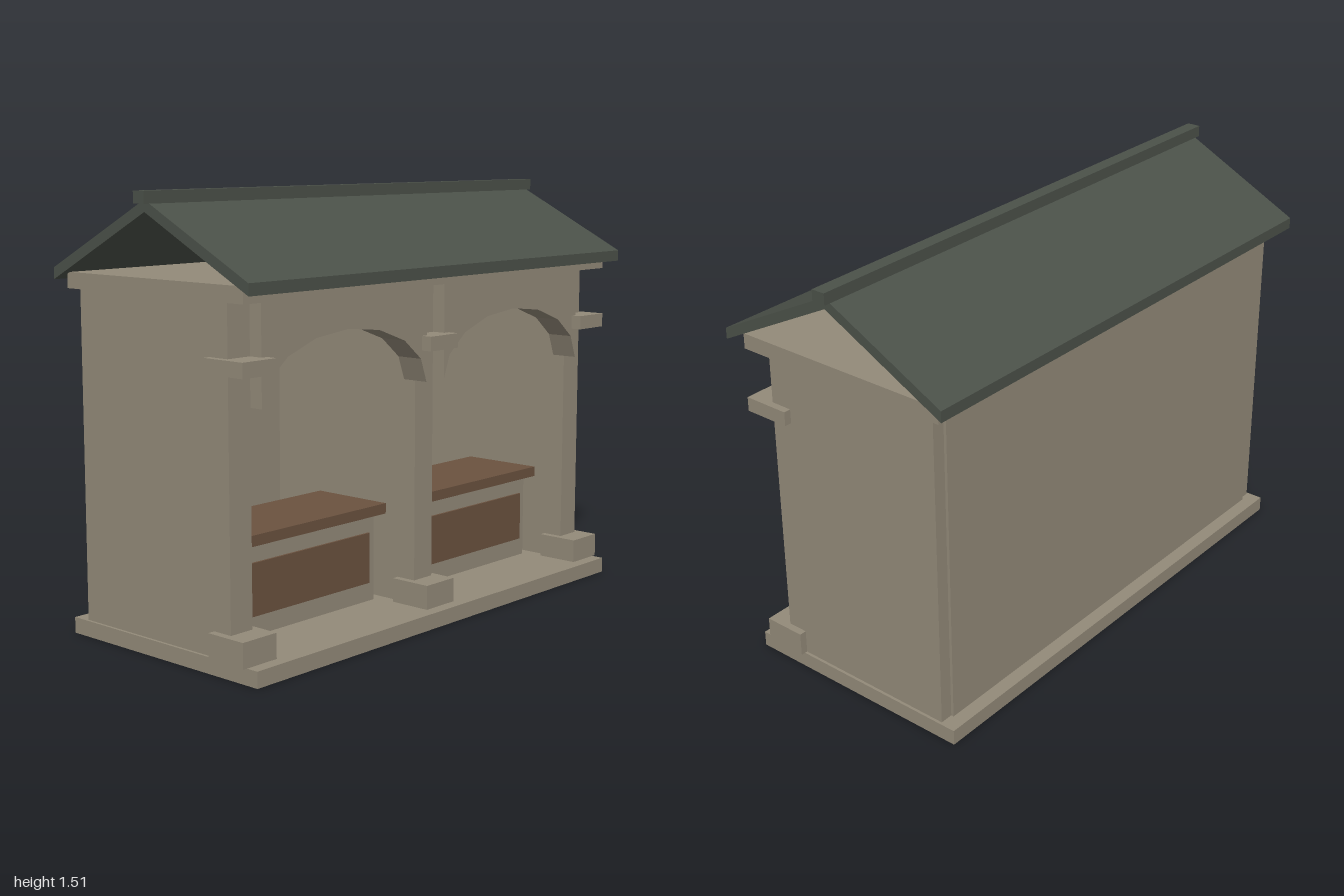
import * as THREE from 'three';

export function createModel() {
  const model = new THREE.Group();
  model.name = 'benchShelter';

  const mat = (name, color) => {
    const m = new THREE.MeshStandardMaterial({ color });
    m.name = name;
    return m;
  };
  const stone = mat('stone', 0x938a79);
  const slate = mat('slate', 0x4b5149);
  const wood = mat('wood', 0x6b523f);

  const add = (name, geometry, material) => {
    const mesh = new THREE.Mesh(geometry, material);
    mesh.name = name;
    model.add(mesh);
    return mesh;
  };
  // Box given by its lower and upper limits on each axis
  const box = (name, material, [x0, x1], [y0, y1], [z0, z1]) => {
    const g = new THREE.BoxGeometry(x1 - x0, y1 - y0, z1 - z0);
    g.translate((x0 + x1) / 2, (y0 + y1) / 2, (z0 + z1) / 2);
    return add(name, g, material);
  };

  // Floor, back wall and top plate
  box('floorSlab', stone, [-0.94, 0.94], [0, 0.055], [-0.44, 0.44]);
  box('backWall', stone, [-0.883, 0.883], [0.055, 1.178], [-0.39, -0.338]);
  box('topPlate', stone, [-0.95, 0.95], [1.178, 1.232], [-0.42, 0.405]);

  // Side walls and central divider, each with a plinth and a collar at the front
  for (const [name, x] of [['rightWall', -0.883], ['dividerWall', 0], ['leftWall', 0.883]]) {
    box(name, stone, [x - 0.047, x + 0.047], [0.055, 1.178], [-0.38, 0.315]);
    box(name + 'Plinth', stone, [x - 0.073, x + 0.073], [0.055, 0.14], [0.24, 0.395]);
    box(name + 'Collar', stone, [x - 0.073, x + 0.073], [0.955, 1.005], [0.235, 0.405]);
  }

  // Each bay has an arched panel and a bench
  const halfBay = 0.3945;
  for (const side of [-1, 1]) {
    const cx = side * 0.4415;

    const arch = new THREE.Shape();
    arch.moveTo(-halfBay, 1.178);
    for (let i = 0; i <= 8; i++) {
      const a = Math.PI * (1 - i / 8);
      arch.lineTo(halfBay * Math.cos(a), 0.845 + 0.215 * Math.sin(a));
    }
    arch.lineTo(halfBay, 1.178);
    const archGeo = new THREE.ExtrudeGeometry(arch, { depth: 0.1, bevelEnabled: false });
    archGeo.translate(cx, 0, 0.265);
    add('archPanel', archGeo, stone);

    box('benchBase', stone, [cx - 0.347, cx + 0.347], [0.055, 0.365], [-0.085, 0.168]);
    box('benchPanel', wood, [cx - 0.317, cx + 0.317], [0.122, 0.302], [0.167, 0.176]);
    box('benchSeat', wood, [cx - 0.375, cx + 0.375], [0.365, 0.402], [-0.115, 0.2]);
  }

  // Pitched roof, open at both gables
  const roof = new THREE.Shape();
  roof.moveTo(-0.456, 1.207);
  roof.lineTo(0, 1.44);
  roof.lineTo(0.456, 1.207);
  roof.lineTo(0.456, 1.246);
  roof.lineTo(0, 1.478);
  roof.lineTo(-0.456, 1.246);
  roof.closePath();
  const roofGeo = new THREE.ExtrudeGeometry(roof, { depth: 1.954, bevelEnabled: false });
  roofGeo.translate(0, 0, -0.977);
  roofGeo.rotateY(Math.PI / 2);
  add('roof', roofGeo, slate);
  box('ridgeCap', slate, [-1, 1], [1.466, 1.506], [-0.025, 0.025]);

  return model;
}
